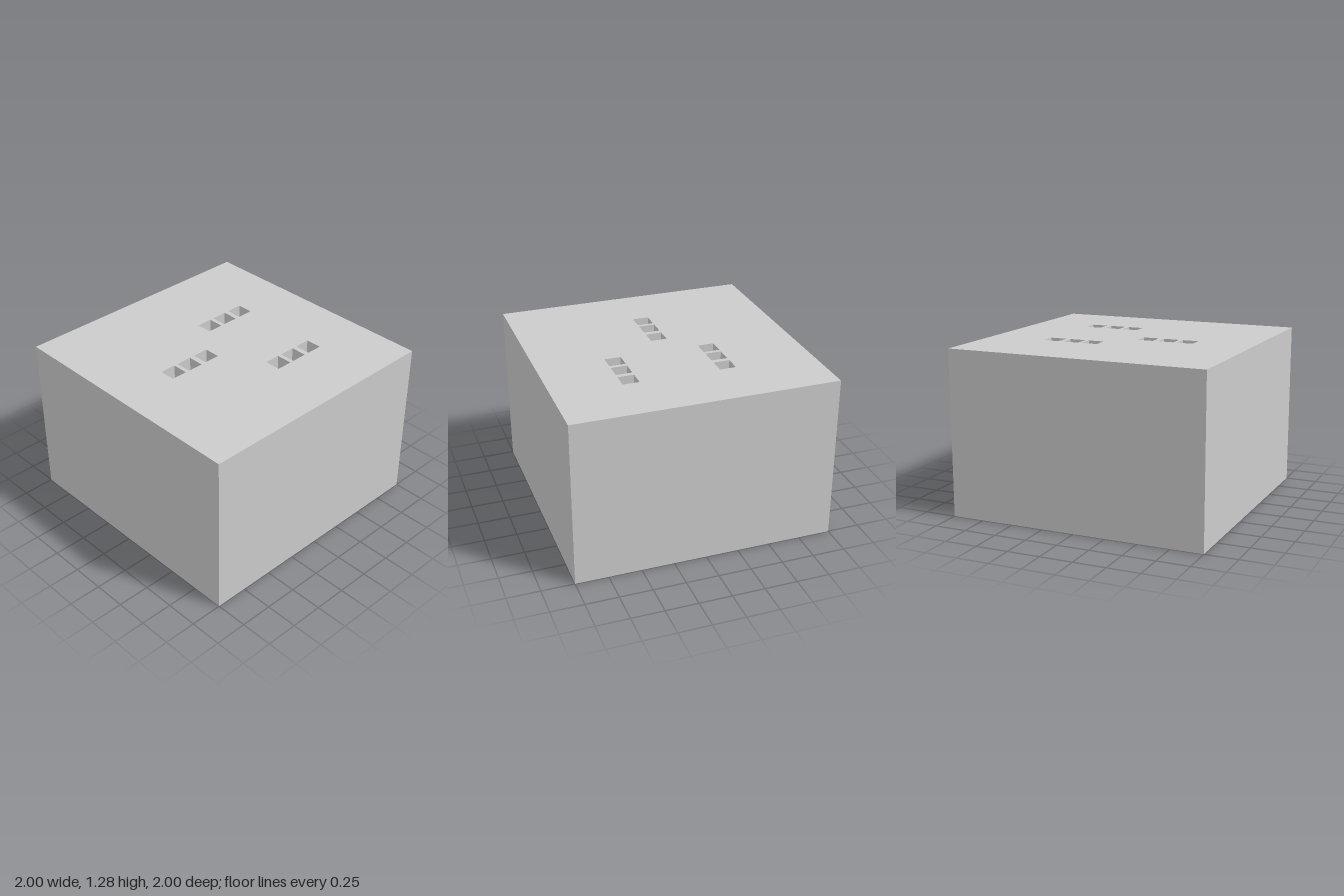
import * as THREE from 'three';

const HEIGHT = 1.28;
const HOLE = 0.125;

// Square outline centred on (x, y), added to a Shape or Path
function square(path, x, y, size) {
  const h = size / 2;
  path.moveTo(x - h, y - h);
  path.lineTo(x + h, y - h);
  path.lineTo(x + h, y + h);
  path.lineTo(x - h, y + h);
  path.closePath();
  return path;
}

export function createModel() {
  const group = new THREE.Group();
  group.name = 'slottedBlock';

  // Plan of the block: shape y becomes -z once laid flat
  const plan = square(new THREE.Shape(), 0, 0, 2);

  // Three rows of three square shafts running right through
  const rows = [
    { x: -0.322, zs: [-0.483, -0.319, -0.163] },
    { x: 0.416, zs: [-0.483, -0.319, -0.163] },
    { x: -0.018, zs: [0.162, 0.328, 0.483] },
  ];
  for (const { x, zs } of rows) {
    for (const z of zs) plan.holes.push(square(new THREE.Path(), x, -z, HOLE));
  }

  const geometry = new THREE.ExtrudeGeometry(plan, { depth: HEIGHT, bevelEnabled: false });
  geometry.rotateX(-Math.PI / 2);

  const block = new THREE.Mesh(
    geometry,
    new THREE.MeshStandardMaterial({ color: 0xcccccc, flatShading: true })
  );
  block.name = 'block';
  group.add(block);
  return group;
}
